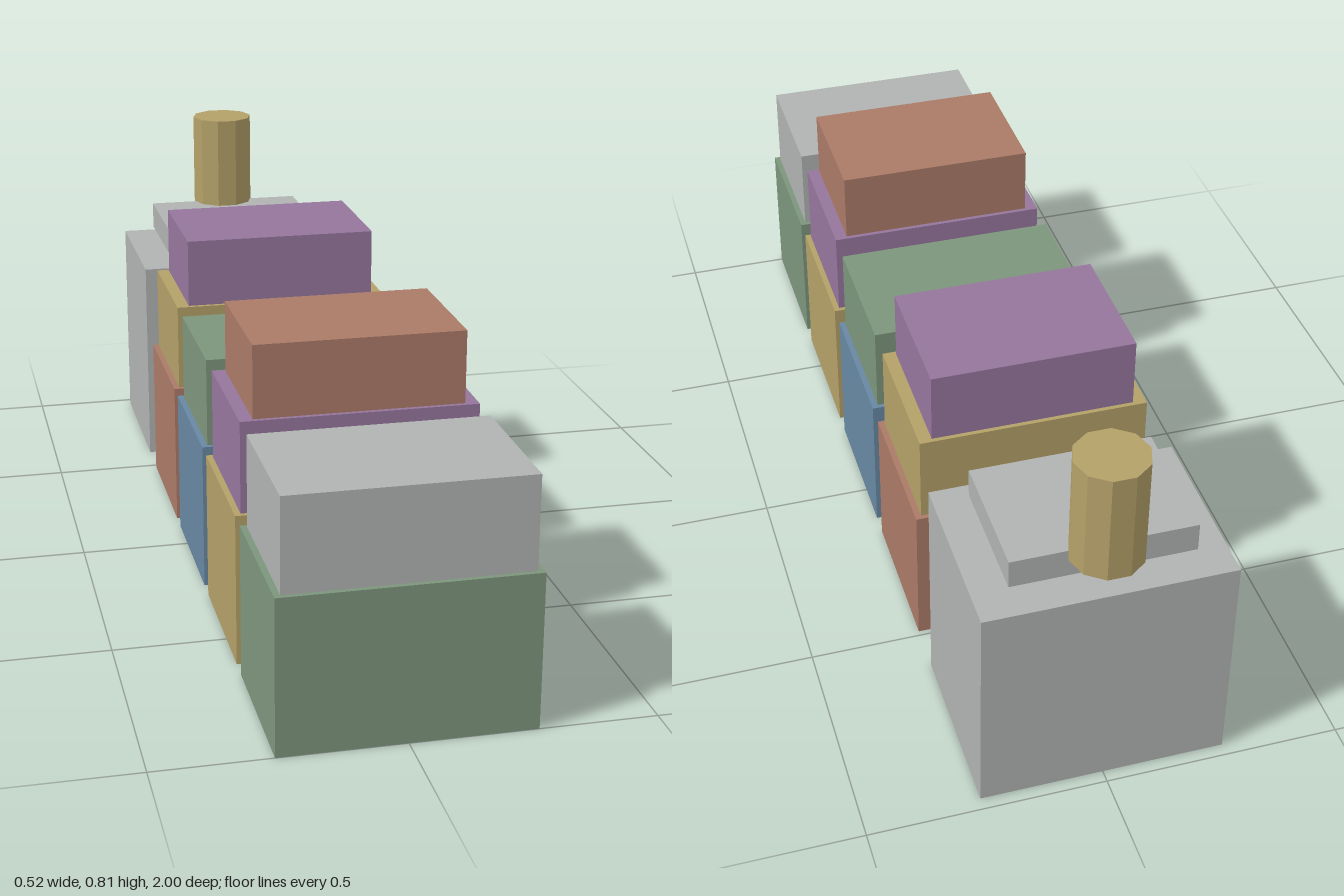
import * as THREE from 'three';

const material = (name, color) => new THREE.MeshStandardMaterial({ name, color });

export function createModel() {
  const green = material('sage green', 0x7d957c);
  const yellow = material('ochre', 0xb4a169);
  const blue = material('slate blue', 0x6888a2);
  const red = material('terracotta', 0xab7b68);
  const purple = material('mauve', 0x96769d);
  const grey = material('light grey', 0xb1b3b2);

  const model = new THREE.Group();
  model.name = 'blockTrain';

  // Box resting on y = bottom
  function addBox(parent, name, mat, [w, h, d], bottom, z = 0) {
    const mesh = new THREE.Mesh(new THREE.BoxGeometry(w, h, d), mat);
    mesh.name = name;
    mesh.position.set(0, bottom + h / 2, z);
    parent.add(mesh);
  }

  // Each tier is a little smaller than the one below
  const tiers = [
    { name: 'base', size: [0.518, 0.328, 0.336], bottom: 0 },
    { name: 'middle', size: [0.492, 0.195, 0.315], bottom: 0.328 },
    { name: 'top', size: [0.436, 0.154, 0.296], bottom: 0.523 },
  ];

  // Four wagons of stacked blocks, front to back
  const wagons = [
    [green, grey],
    [yellow, purple, red],
    [blue, green],
    [red, yellow, purple],
  ];
  wagons.forEach((colours, i) => {
    const wagon = new THREE.Group();
    wagon.name = `wagon${i + 1}`;
    wagon.position.z = 0.832 - i * 0.384;
    colours.forEach((mat, t) => {
      const { name, size, bottom } = tiers[t];
      addBox(wagon, `${name}Block`, mat, size, bottom);
    });
    model.add(wagon);
  });

  // Rear engine: body, raised roof slab and chimney
  const engine = new THREE.Group();
  engine.name = 'engine';
  addBox(engine, 'engineBody', grey, [0.518, 0.493, 0.38], 0, -0.783);
  addBox(engine, 'roofSlab', grey, [0.38, 0.063, 0.272], 0.516, -0.783);
  const chimneyGeometry = new THREE.CylinderGeometry(0.0757, 0.0757, 0.241, 10).toNonIndexed();
  chimneyGeometry.computeVertexNormals();
  const chimney = new THREE.Mesh(chimneyGeometry, yellow);
  chimney.name = 'chimney';
  chimney.rotation.y = Math.PI / 2;
  chimney.position.set(0, 0.6845, -0.928);
  engine.add(chimney);
  model.add(engine);

  return model;
}
